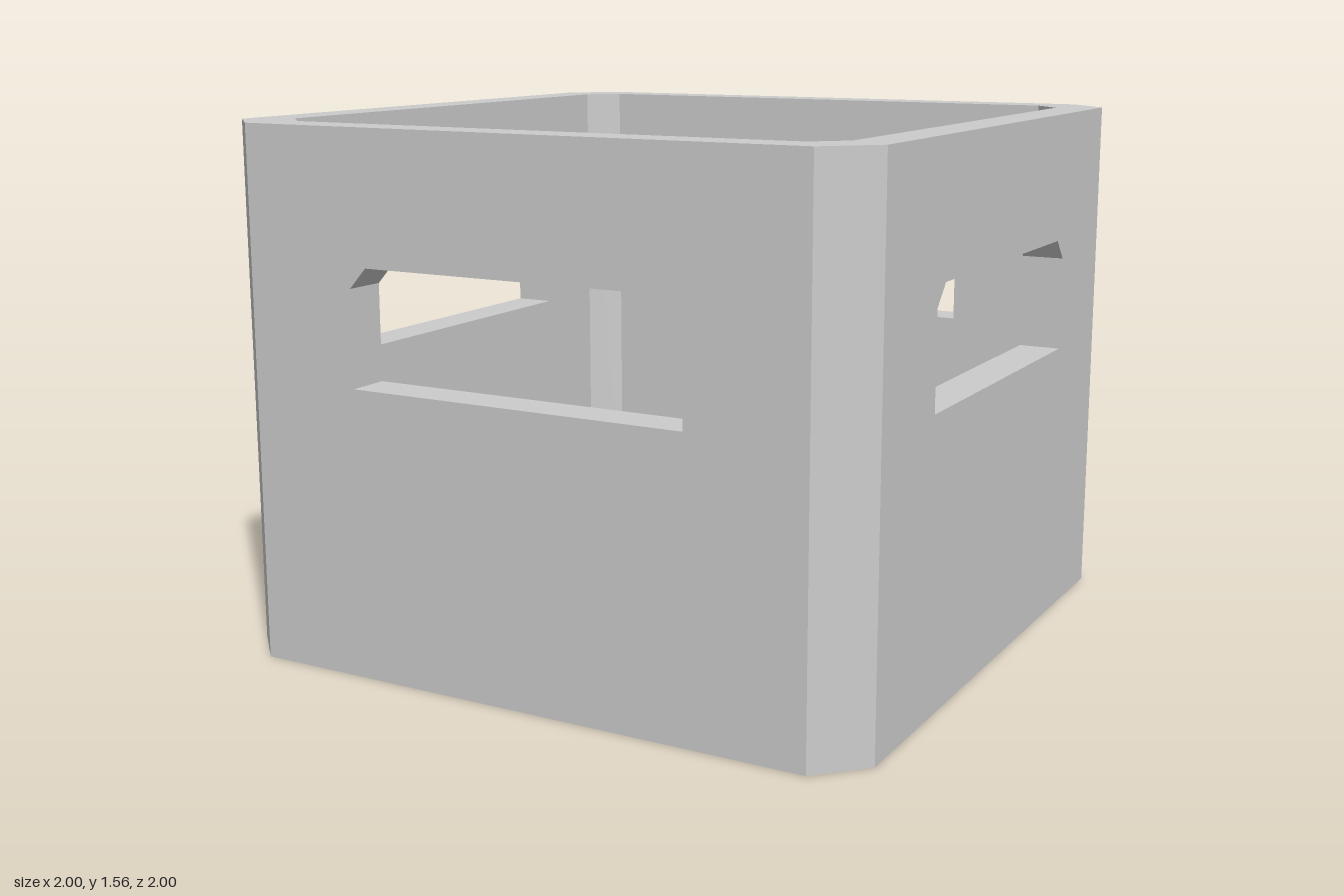
import * as THREE from 'three';

const HEIGHT = 1.56, FLOOR = 0.045;
const OUT = 1, OUT_CUT = 0.87;      // outer face and where its corner cut starts
const INN = 0.875, INN_CUT = 0.79;  // the same for the inside

const material = new THREE.MeshStandardMaterial({ color: 0xcccccc, flatShading: true });
const polygon = (points) => points.map(([x, y]) => new THREE.Vector2(x, y));

// Extrude a plan outline straight up from y = 0
function upright(points, height) {
  const geometry = new THREE.ExtrudeGeometry(new THREE.Shape(polygon(points)), { depth: height, bevelEnabled: false });
  return geometry.rotateX(-Math.PI / 2);
}

// Wall with a hand hole; its ends are mitred towards the inside
function wallGeometry() {
  const shape = new THREE.Shape(polygon([[-OUT_CUT, 0], [OUT_CUT, 0], [OUT_CUT, HEIGHT], [-OUT_CUT, HEIGHT]]));
  shape.holes.push(new THREE.Path(polygon([
    [-0.52, 0.84], [-0.52, 1.12], [-0.465, 1.18], [0.465, 1.18], [0.52, 1.12], [0.52, 0.84],
  ])));
  const geometry = new THREE.ExtrudeGeometry(shape, { depth: OUT - INN, bevelEnabled: false });
  geometry.translate(0, 0, INN);
  const p = geometry.attributes.position;
  for (let i = 0; i < p.count; i++) {
    const x = p.getX(i);
    if (p.getZ(i) < INN + 0.01 && Math.abs(x) > INN_CUT) p.setX(i, Math.sign(x) * INN_CUT);
  }
  geometry.computeVertexNormals();
  return geometry;
}

export function createModel() {
  const crate = new THREE.Group();
  crate.name = 'crate';
  const add = (name, geometry, turn = 0) => {
    const mesh = new THREE.Mesh(geometry, material);
    mesh.name = name;
    mesh.rotation.y = turn * Math.PI / 2;
    crate.add(mesh);
  };

  // Four walls and four cut corner posts
  const wall = wallGeometry();
  const corner = upright([[OUT_CUT, OUT], [INN_CUT, INN], [INN, INN_CUT], [OUT, OUT_CUT]], HEIGHT);
  ['front', 'left', 'back', 'right'].forEach((side, i) => {
    add(side + 'Wall', wall, i);
    add('corner' + (i + 1), corner, i);
  });

  // Thin floor between the walls
  add('floor', upright([
    [INN, -INN_CUT], [INN, INN_CUT], [INN_CUT, INN], [-INN_CUT, INN],
    [-INN, INN_CUT], [-INN, -INN_CUT], [-INN_CUT, -INN], [INN_CUT, -INN],
  ], FLOOR));

  return crate;
}
